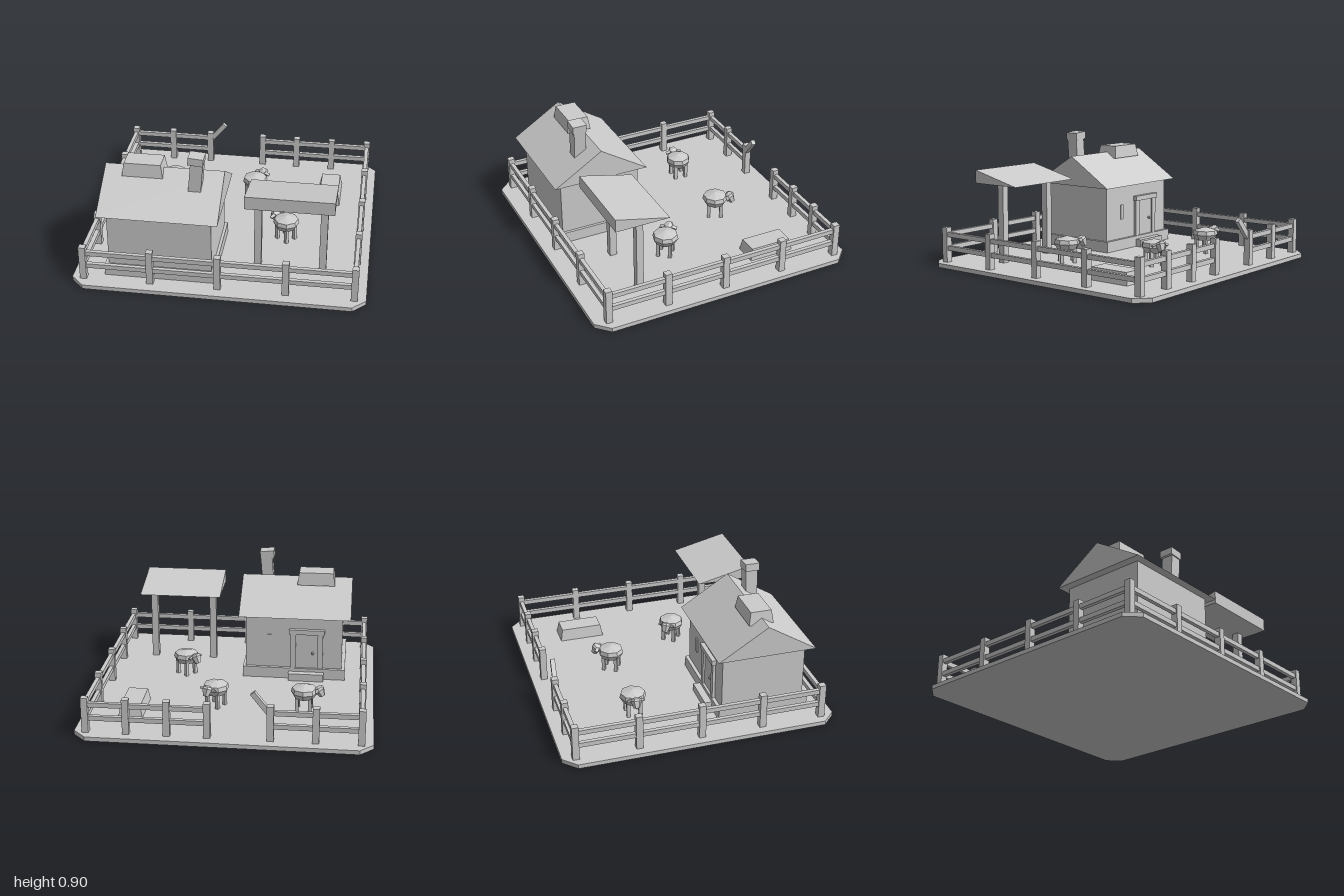
import * as THREE from 'three';

const stone = new THREE.MeshStandardMaterial({ color: 0xcccccc, flatShading: true });
stone.name = 'plain grey';

function add(parent, name, geometry, x = 0, y = 0, z = 0) {
  const mesh = new THREE.Mesh(geometry, stone);
  mesh.name = name;
  mesh.position.set(x, y, z);
  parent.add(mesh);
  return mesh;
}

// Box given by its limits on each axis
function box(parent, name, x0, x1, y0, y1, z0, z1) {
  return add(parent, name, new THREE.BoxGeometry(x1 - x0, y1 - y0, z1 - z0),
    (x0 + x1) / 2, (y0 + y1) / 2, (z0 + z1) / 2);
}

// Box whose top is inset and may be shifted sideways
function taperedBox(parent, name, x0, x1, y0, y1, z0, z1, inset, shift = 0) {
  const mesh = box(parent, name, x0, x1, y0, y1, z0, z1);
  const p = mesh.geometry.attributes.position;
  for (let i = 0; i < p.count; i++) {
    if (p.getY(i) < 0) continue;
    p.setX(i, p.getX(i) - Math.sign(p.getX(i)) * inset + shift);
    p.setZ(i, p.getZ(i) - Math.sign(p.getZ(i)) * inset);
  }
  mesh.geometry.computeVertexNormals();
  return mesh;
}

// Prism along x from a list of [z, y] corners
function prism(parent, name, corners, x0, x1) {
  const shape = new THREE.Shape(corners.map(([z, y]) => new THREE.Vector2(-z, y)));
  const geometry = new THREE.ExtrudeGeometry(shape, { depth: x1 - x0, bevelEnabled: false });
  geometry.rotateY(Math.PI / 2);
  return add(parent, name, geometry, x0, 0, 0);
}

function group(parent, name) {
  const g = new THREE.Group();
  g.name = name;
  parent.add(g);
  return g;
}

function buildGround(root) {
  const a = 1, b = 0.955, c = 0.09;
  const outline = [[-a, -b + c], [-a + c, -b], [a - c, -b], [a, -b + c],
    [a, b - c], [a - c, b], [-a + c, b], [-a, b - c]];
  const shape = new THREE.Shape(outline.map(([x, y]) => new THREE.Vector2(x, y)));
  const geometry = new THREE.ExtrudeGeometry(shape, { depth: 0.03, bevelEnabled: false });
  geometry.rotateX(-Math.PI / 2);
  add(root, 'ground', geometry);
}

function buildFence(root) {
  const fence = group(root, 'fence');
  const back = -0.865, front = 0.857, side = 0.92, h = 0.023, t = 0.014;
  const post = (x, z) => box(fence, 'fencePost', x - h, x + h, 0, 0.278, z - h, z + h);
  for (const x of [-side, -0.62, -0.32, 0.1, 0.37, 0.645, side]) post(x, back);
  for (const x of [-side, -0.46, 0, 0.46, side]) post(x, front);
  for (const x of [-side, side]) for (const z of [-0.435, 0, 0.43]) post(x, z);
  for (const [y0, y1] of [[0.115, 0.148], [0.212, 0.245]]) {
    box(fence, 'frontRail', -side, side, y0, y1, front - t, front + t);
    box(fence, 'backRail', -side, -0.32, y0, y1, back - t, back + t);
    box(fence, 'backRail', 0.1, side, y0, y1, back - t, back + t);
    for (const x of [-side, side]) box(fence, 'sideRail', x - t, x + t, y0, y1, back, front);
  }
  // Snapped rail sticking up at the opening
  const broken = add(fence, 'brokenRail', new THREE.BoxGeometry(0.19, 0.037, 0.032), -0.262, 0.287, -0.856);
  broken.rotation.set(0, -0.08, 0.88);
}

function buildHouse(root) {
  const house = group(root, 'house');
  box(house, 'plinth', -0.785, -0.03, 0.02, 0.11, 0.17, 0.812);
  box(house, 'walls', -0.76, -0.05, 0.1, 0.51, 0.195, 0.785);
  prism(house, 'roof', [[0.842, 0.508], [0.145, 0.508], [0.49, 0.727]], -0.818, 0);
  taperedBox(house, 'ridgeVent', -0.69, -0.41, 0.682, 0.775, 0.4, 0.575, 0.014);
  // Leaning chimney
  taperedBox(house, 'chimney', -0.232, -0.146, 0.58, 0.84, 0.55, 0.636, 0, 0.022);
  const cap = box(house, 'chimneyCap', -0.225, -0.121, 0.838, 0.892, 0.543, 0.645);
  cap.rotation.z = -0.08;
  // Doorway on the yard side
  box(house, 'doorStep', -0.63, -0.37, 0.02, 0.085, 0.12, 0.2);
  box(house, 'door', -0.58, -0.42, 0.085, 0.38, 0.187, 0.197);
  for (const x of [-0.6, -0.4]) box(house, 'doorJamb', x - 0.02, x + 0.02, 0.085, 0.38, 0.175, 0.2);
  box(house, 'lintel', -0.63, -0.37, 0.378, 0.414, 0.165, 0.2);
  add(house, 'doorKnob', new THREE.IcosahedronGeometry(0.012), -0.545, 0.23, 0.18);
  box(house, 'windowSlit', -0.24, -0.212, 0.255, 0.365, 0.187, 0.2);
}

function buildShelter(root) {
  const shelter = group(root, 'shelter');
  for (const x of [0.235, 0.685]) box(shelter, 'shelterPost', x - 0.025, x + 0.025, 0, 0.6, 0.505, 0.555);
  prism(shelter, 'shelterRoof', [[0.722, 0.585], [0.333, 0.585], [0.722, 0.678]], 0.16, 0.76);
}

// Low-poly sheep whose head points along its own +x
function buildSheep(root, x, z, dx, dz) {
  const sheep = group(root, 'sheep');
  sheep.position.set(x, 0, z);
  sheep.rotation.y = Math.atan2(-dz, dx);
  const profile = [[0, 0.115], [0.07, 0.125], [0.093, 0.165], [0.085, 0.195], [0, 0.218]];
  add(sheep, 'woolBody', new THREE.LatheGeometry(profile.map(([r, y]) => new THREE.Vector2(r, y)), 8));
  for (const lx of [-0.045, 0.045]) for (const lz of [-0.042, 0.042]) {
    box(sheep, 'leg', lx - 0.012, lx + 0.012, 0.0, 0.14, lz - 0.012, lz + 0.012);
  }
  const head = group(sheep, 'head');
  head.position.set(0.108, 0.182, 0);
  head.rotation.z = 0.45;
  const skull = [[0, -0.045], [0.022, -0.042], [0.038, 0.01], [0.03, 0.025], [0, 0.036]];
  add(head, 'skull', new THREE.LatheGeometry(skull.map(([r, y]) => new THREE.Vector2(r, y)), 6));
  for (const s of [-1, 1]) {
    const ear = add(head, 'ear', new THREE.BoxGeometry(0.022, 0.012, 0.036), -0.01, 0.012, s * 0.043);
    ear.rotation.x = s * 0.35;
  }
}

export function createModel() {
  const root = new THREE.Group();
  root.name = 'farmyard';
  buildGround(root);
  buildFence(root);
  buildHouse(root);
  buildShelter(root);
  taperedBox(root, 'trough', 0.575, 0.753, 0.0, 0.115, -0.635, -0.298, 0.02);
  buildSheep(root, -0.515, -0.365, -1, -0.05);
  buildSheep(root, 0.103, -0.36, 0.5, -0.95);
  buildSheep(root, 0.395, 0.19, -0.8, -0.65);
  return root;
}
